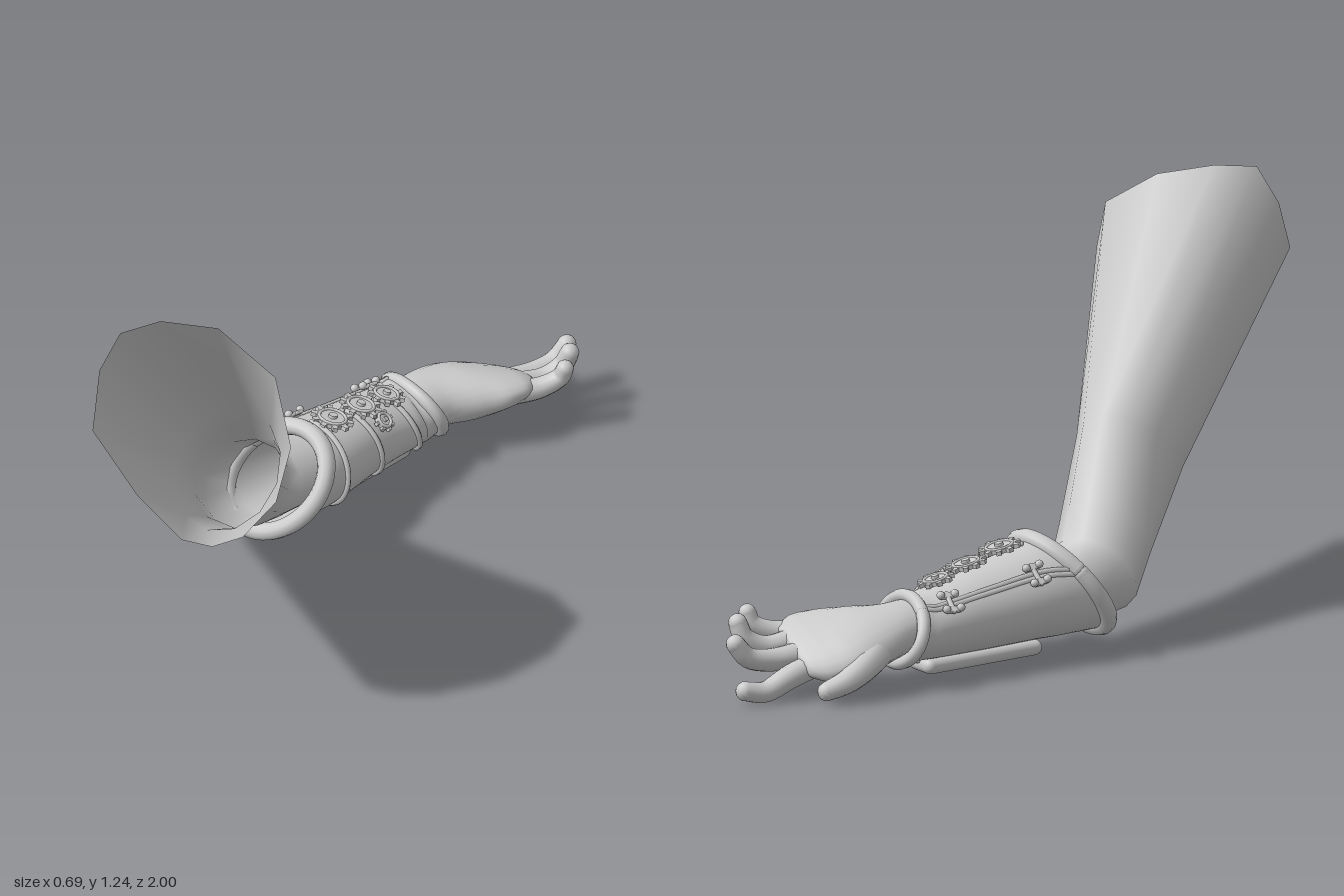
import * as THREE from 'three';
import { RoundedBoxGeometry } from 'three/addons/geometries/RoundedBoxGeometry.js';

const V = (a) => new THREE.Vector3(...a);
const RAD = Math.PI / 180;
const mat = new THREE.MeshStandardMaterial({ color: 0xcccccc });
const thinMat = new THREE.MeshStandardMaterial({ color: 0xcccccc, side: THREE.DoubleSide });

function add(parent, name, geometry, material = mat) {
  const mesh = new THREE.Mesh(geometry, material);
  mesh.name = name;
  parent.add(mesh);
  return mesh;
}

// Skin over rows of points; closed rows wrap around
function loft(rows, closed) {
  const n = rows[0].length, index = [];
  for (let i = 0; i < rows.length - 1; i++) {
    for (let j = 0; j < (closed ? n : n - 1); j++) {
      const k = (j + 1) % n, a = i * n + j, b = i * n + k;
      index.push(a, b, a + n, b, b + n, a + n);
    }
  }
  const g = new THREE.BufferGeometry();
  g.setAttribute('position', new THREE.Float32BufferAttribute(rows.flat().flatMap((p) => p.toArray()), 3));
  g.setIndex(index);
  g.computeVertexNormals();
  return g;
}

// Ellipse sections [centre, half axis a, half axis b] -> smooth surface point at (t, degrees)
function surface(sections) {
  const [c, a, b] = [0, 1, 2].map((k) => new THREE.CatmullRomCurve3(sections.map((s) => V(s[k]))));
  return (t, deg, scale = 1) => c.getPoint(t)
    .addScaledVector(a.getPoint(t), scale * Math.cos(deg * RAD))
    .addScaledVector(b.getPoint(t), scale * Math.sin(deg * RAD));
}

const range = (n, from, to) => Array.from({ length: n + 1 }, (_, i) => from + (to - from) * i / n);

// Round cord along points, with rounded ends
function cord(parent, name, points, r0, r1 = r0, sides = 10) {
  const group = new THREE.Group();
  group.name = name;
  const curve = new THREE.CatmullRomCurve3(points), rows = Math.max(16, points.length);
  const g = new THREE.TubeGeometry(curve, rows, 1, sides);
  const pos = g.attributes.position, nor = g.attributes.normal;
  for (let i = 0; i < pos.count; i++) {
    const u = Math.floor(i / (sides + 1)) / rows;
    const p = curve.getPointAt(u).addScaledVector(new THREE.Vector3().fromBufferAttribute(nor, i), r0 + (r1 - r0) * u);
    pos.setXYZ(i, p.x, p.y, p.z);
  }
  add(group, name + 'Length', g);
  [[points[0], r0], [points[points.length - 1], r1]].forEach(([p, r]) => {
    add(group, name + 'End', new THREE.SphereGeometry(r, sides, 8)).position.copy(p);
  });
  parent.add(group);
}

function buildSleeve(parent) {
  const opening = [
    [-0.24, 0.98, 1], [-0.26, 1.13, 0.92], [-0.22, 1.24, 0.87], [-0.14, 1.25, 0.78],
    [0, 1.22, 0.7], [0.18, 1.11, 0.7], [0.27, 0.95, 0.78], [0.27, 0.82, 0.87],
    [0.2, 0.72, 0.94], [0.12, 0.68, 0.97], [0.03, 0.68, 0.98], [-0.12, 0.77, 0.96],
  ].map(V);
  const sections = [
    [[-0.12, 0.5, 0.41], [-0.138, 0.02, 0.03], [0, 0.125, -0.125]],
    [[-0.195, 0.305, 0.19], [-0.12, 0.02, 0.04], [0, 0.125, -0.075]],
    [[-0.22, 0.225, 0.11], [-0.12, 0, 0.03], [0, 0.115, -0.06]],
    [[-0.19, 0.2, 0.03], [-0.11, 0, -0.02], [0.01, 0.11, -0.03]],
    [[-0.1, 0.18, -0.2], [-0.1, 0, -0.03], [0, 0.09, 0]],
    [[-0.02, 0.165, -0.44], [-0.08, 0, -0.02], [0, 0.07, 0]],
  ];
  const rows = sections.map(([c, a, b]) => range(11, 0, 330).map((d) => V(c)
    .addScaledVector(V(a), Math.cos(d * RAD)).addScaledVector(V(b), Math.sin(d * RAD))));
  add(parent, 'sleeve', loft([opening, ...rows], true), thinMat);
}

function buildHand(parent) {
  const hand = new THREE.Group();
  hand.name = 'hand';
  const palm = surface([
    [[-0.02, 0.165, -0.42], [-0.09, 0, -0.02], [0, 0.078, 0]],
    [[0.005, 0.165, -0.54], [-0.098, 0, -0.025], [0, 0.076, 0]],
    [[0.05, 0.155, -0.625], [-0.125, -0.02, -0.045], [0, 0.078, -0.01]],
    [[0.095, 0.145, -0.69], [-0.138, -0.04, -0.06], [0, 0.066, -0.015]],
    [[0.135, 0.135, -0.74], [-0.125, -0.05, -0.06], [0, 0.054, -0.015]],
    [[0.165, 0.13, -0.785], [-0.09, -0.04, -0.045], [0, 0.032, -0.01]],
    [[0.173, 0.13, -0.8], [-0.002, 0, 0], [0, 0.001, 0]],
  ]);
  add(hand, 'palm', loft(range(30, 0, 1).map((t) => range(23, 0, 345).map((d) => palm(t, d))), true));
  const fingers = {
    thumb: [0.054, 0.027, [[-0.02, 0.15, -0.62], [-0.036, 0.115, -0.7], [-0.025, 0.075, -0.78], [0.01, 0.05, -0.835]]],
    indexFinger: [0.038, 0.028, [[0.09, 0.11, -0.76], [0.13, 0.075, -0.85], [0.165, 0.042, -0.92], [0.195, 0.05, -0.968]]],
    middleFinger: [0.038, 0.027, [[0.14, 0.125, -0.77], [0.19, 0.118, -0.86], [0.222, 0.133, -0.92], [0.243, 0.175, -0.95]]],
    ringFinger: [0.037, 0.027, [[0.19, 0.15, -0.74], [0.24, 0.14, -0.82], [0.275, 0.17, -0.865], [0.292, 0.212, -0.873]]],
    littleFinger: [0.036, 0.025, [[0.2, 0.165, -0.68], [0.265, 0.165, -0.745], [0.308, 0.19, -0.785], [0.32, 0.22, -0.79]]],
  };
  for (const [name, [r0, r1, path]] of Object.entries(fingers)) cord(hand, name, path.map(V), r0, r1, 12);
  parent.add(hand);
}

// Toothed wheel with raised ring and hub, facing +z
function gear(radius, teeth) {
  const group = new THREE.Group();
  group.name = 'gear';
  const shape = new THREE.Shape();
  for (let i = 0; i < teeth; i++) {
    [[-0.28, 0.76], [-0.18, 1], [0.18, 1], [0.28, 0.76]].forEach(([o, r], k) => {
      const a = (i + o) / teeth * Math.PI * 2;
      shape[i || k ? 'lineTo' : 'moveTo'](Math.cos(a) * r * radius, Math.sin(a) * r * radius);
    });
  }
  shape.closePath();
  const hole = new THREE.Path();
  hole.absarc(0, 0, radius * 0.18, 0, Math.PI * 2, true);
  shape.holes.push(hole);
  add(group, 'gearWheel', new THREE.ExtrudeGeometry(shape, { depth: 0.012, bevelEnabled: false, curveSegments: 8 }));
  add(group, 'gearRing', new THREE.TorusGeometry(radius * 0.62, 0.005, 6, 24)).position.z = 0.012;
  const hub = add(group, 'gearHub', new THREE.CylinderGeometry(radius * 0.2, radius * 0.24, 0.022, 12));
  hub.rotation.x = Math.PI / 2;
  hub.position.z = 0.009;
  return group;
}

// Two knobbed halves joined across the slit
function buckle() {
  const group = new THREE.Group();
  group.name = 'buckle';
  add(group, 'buckleBar', new RoundedBoxGeometry(0.075, 0.014, 0.012, 2, 0.005));
  for (const x of [-0.025, 0.025]) {
    add(group, 'bucklePlate', new RoundedBoxGeometry(0.02, 0.05, 0.012, 2, 0.005)).position.x = x;
    for (const y of [-0.022, 0.022]) {
      add(group, 'buckleKnob', new THREE.SphereGeometry(0.012, 10, 8)).position.set(x, y, 0.006);
    }
  }
  return group;
}

function buildBracer(parent) {
  const bracer = new THREE.Group();
  bracer.name = 'bracer';
  const at = surface([
    [[-0.165, 0.21, 0.035], [-0.155, -0.045, 0], [0, 0.13, -0.09]],
    [[-0.12, 0.2, -0.1], [-0.14, -0.02, -0.045], [0, 0.128, -0.02]],
    [[-0.07, 0.18, -0.3], [-0.115, -0.01, -0.04], [0, 0.11, 0]],
    [[-0.025, 0.165, -0.46], [-0.108, 0, -0.045], [0, 0.092, 0.02]],
    [[-0.01, 0.165, -0.515], [-0.108, 0, -0.045], [0, 0.086, 0.04]],
  ]);
  const from = 48, to = 402;
  const arc = range(48, from, to), along = range(24, 0, 1);
  add(bracer, 'bracerShell', loft(along.map((t) => arc.map((d) => at(t, d))), false), thinMat);
  cord(bracer, 'elbowRim', arc.map((d) => at(0.01, d, 0.98)), 0.026);
  cord(bracer, 'wristRim', arc.map((d) => at(1, d)), 0.019);
  for (const d of [from, to]) cord(bracer, 'slitEdge', along.map((t) => at(t, d)), 0.008, 0.008, 6);

  // Slanted straps around the outer side
  for (const t of [0.19, 0.4, 0.63]) {
    cord(bracer, 'strap', range(24, 95, 275).map((d) => at(t + (d - 95) / 180 * 0.1, d, 1.03)), 0.008, 0.008, 6);
  }

  // Fit a part onto the shell, its z along the surface normal
  const mount = (part, t, d, lift) => {
    const p = at(t, d);
    const x = at(t, d + 1).sub(p).normalize();
    const z = x.clone().cross(at(t + 0.01, d).sub(p)).normalize();
    part.quaternion.setFromRotationMatrix(new THREE.Matrix4().makeBasis(x, z.clone().cross(x), z));
    part.position.copy(p).addScaledVector(z, lift);
    bracer.add(part);
  };
  [[0.3, 103, 0.062, 10], [0.46, 102, 0.06, 10], [0.63, 98, 0.054, 9], [0.5, 134, 0.034, 8]]
    .forEach(([t, d, r, n]) => mount(gear(r, n), t, d, 0.005));
  for (const t of [0.27, 0.66]) mount(buckle(), t, 45, 0.008);

  // Padded plate under the forearm
  const plate = add(bracer, 'underPlate', new RoundedBoxGeometry(0.11, 0.045, 0.4, 5, 0.022));
  plate.position.set(-0.095, 0.056, -0.28);
  plate.rotation.y = -0.31;
  parent.add(bracer);
}

export function createModel() {
  const arm = new THREE.Group();
  arm.name = 'arm';
  buildSleeve(arm);
  buildHand(arm);
  buildBracer(arm);
  return arm;
}
